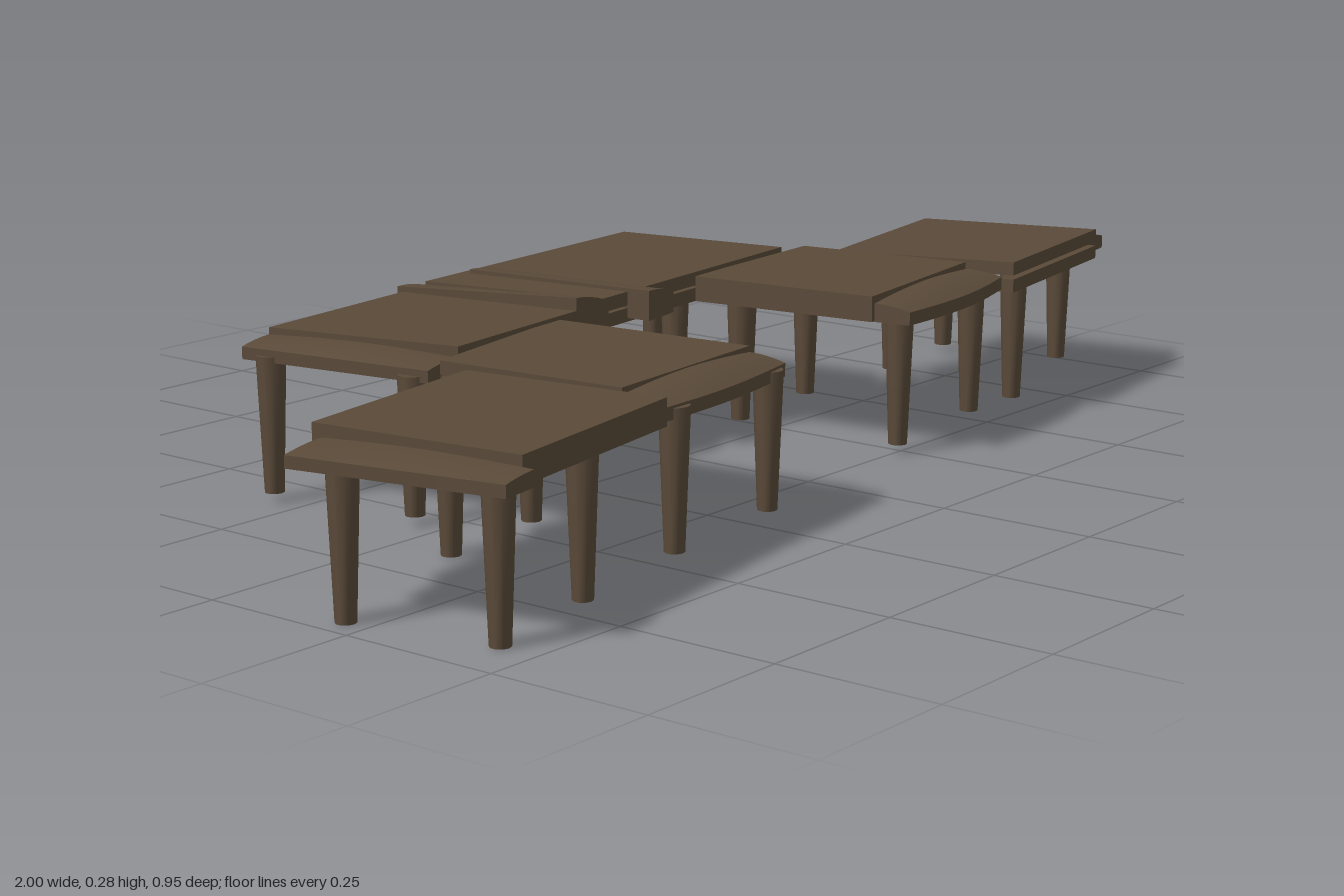
import * as THREE from 'three';
import { toCreasedNormals } from 'three/addons/utils/BufferGeometryUtils.js';

const wood = new THREE.MeshStandardMaterial({ color: 0x5a4a39 });
wood.name = 'dark brown wood';

// Four [x, z] corners, clockwise seen from above; bilinear point inside them.
function inside(q, u, v) {
  const mix = (i) => (1 - v) * ((1 - u) * q[0][i] + u * q[1][i]) + v * ((1 - u) * q[3][i] + u * q[2][i]);
  return [mix(0), mix(1)];
}

// Box bent to a four-cornered outline, with height rules for top and bottom.
function slab(q, top, bottom, nu = 1, nv = 1, bulge = 0) {
  const g = new THREE.BoxGeometry(1, 1, 1, nu, 1, nv);
  const p = g.attributes.position;
  for (let i = 0; i < p.count; i++) {
    const u = p.getX(i) + 0.5, v = p.getZ(i) + 0.5;
    const [x, z] = inside(q, u, v * (1 + bulge * Math.sin(Math.PI * u)));
    p.setXYZ(i, x, p.getY(i) > 0 ? top(u, v, z) : bottom(u, v, z), z);
  }
  return toCreasedNormals(g, 0.6);
}

function add(group, name, geometry) {
  const m = new THREE.Mesh(geometry, wood);
  m.name = name;
  group.add(m);
  return m;
}

// Flat seat with a hollow apron below it
function seat(group, name, q, back, front) {
  const s = new THREE.Group();
  s.name = name;
  const top = (u, v) => back + (front - back) * v;
  add(s, 'seatBoard', slab(q, top, (u, v) => top(u, v) - 0.022));
  const inner = [[0.05, 0.05], [0.95, 0.05], [0.95, 0.95], [0.05, 0.95]].map(([u, v]) => inside(q, u, v));
  const low = Math.min(back, front) - 0.041;
  for (let i = 0; i < 4; i++) {
    const j = (i + 1) % 4;
    add(s, 'apron', slab([q[i], q[j], inner[j], inner[i]], () => low + 0.022, () => low));
  }
  group.add(s);
}

// Rounded rest: first two corners form the edge next to the seat
function rest(group, name, q, high, low, base, bulge = 0) {
  const top = (u, v) => low + (high - low) * (1 - v * v) * (0.55 + 0.45 * Math.sin(Math.PI * u));
  add(group, name, slab(q, top, () => base, 10, 6, bulge));
}

export function createModel() {
  const model = new THREE.Group();
  model.name = 'modularSeating';

  // Seats: corners back right, back left, front left, front right of the model
  seat(model, 'rightOuterSeat', [[-0.91, 0.105], [-0.55, 0.05], [-0.505, 0.38], [-0.87, 0.44]], 0.243, 0.243);
  seat(model, 'rightInnerSeat', [[-0.55, 0], [-0.225, -0.06], [-0.175, 0.27], [-0.505, 0.3]], 0.25, 0.245);
  seat(model, 'backRightSeat', [[-0.54, -0.36], [-0.17, -0.4], [-0.14, -0.065], [-0.485, -0.025]], 0.25, 0.256);
  seat(model, 'backLeftSeat', [[-0.145, -0.41], [0.41, -0.455], [0.43, -0.125], [-0.11, -0.07]], 0.255, 0.262);
  seat(model, 'leftInnerSeat', [[0.16, -0.1], [0.495, -0.125], [0.54, 0.175], [0.2, 0.225]], 0.255, 0.255);
  seat(model, 'leftOuterSeat', [[0.505, -0.065], [0.87, -0.13], [0.915, 0.2], [0.555, 0.26]], 0.252, 0.262);

  // Rounded rests at the ends and along the front edges
  rest(model, 'rightEndRest', [[-0.918, 0.13], [-0.87, 0.46], [-0.935, 0.47], [-1, 0.145]], 0.232, 0.222, 0.204);
  rest(model, 'rightFrontRest', [[-0.505, 0.303], [-0.18, 0.273], [-0.175, 0.335], [-0.505, 0.378]], 0.244, 0.228, 0.208, 0.15);
  rest(model, 'backRightEndRest', [[-0.545, -0.355], [-0.49, -0.025], [-0.56, -0.015], [-0.61, -0.345]], 0.246, 0.234, 0.215);
  rest(model, 'backLeftEndRest', [[0.427, -0.14], [0.402, -0.47], [0.465, -0.48], [0.5, -0.15]], 0.252, 0.236, 0.215);
  rest(model, 'leftFrontRest', [[0.2, 0.23], [0.535, 0.18], [0.55, 0.24], [0.21, 0.29]], 0.252, 0.236, 0.215, 0.25);
  rest(model, 'leftEndRest', [[0.925, 0.18], [0.87, -0.145], [0.935, -0.155], [0.995, 0.165]], 0.252, 0.236, 0.215);

  // Two sloping rests where the back seats meet
  const ridge = (name, q, back, front) => add(model, name, slab(q,
    (u, v) => (back + (front - back) * v) - 0.014 * u * u, () => 0.22, 6, 4));
  ridge('middleRestRight', [[-0.215, -0.405], [-0.13, -0.42], [-0.11, -0.055], [-0.18, -0.06]], 0.258, 0.276);
  ridge('middleRestLeft', [[-0.05, -0.4], [0.03, -0.4], [0.045, -0.05], [-0.035, -0.035]], 0.262, 0.268);

  // Tapered legs: [x, z] positions, with foot height per set
  const legSets = [
    [0, [[-0.91, 0.435], [-0.96, 0.21], [-0.69, 0.385], [-0.64, 0.1]]],
    [0.014, [
      [-0.47, 0.365], [-0.21, 0.33], [-0.47, 0.1], [-0.21, -0.04],
      [-0.59, -0.305], [-0.555, -0.05], [-0.165, -0.365], [-0.25, -0.075],
      [0.22, -0.4], [0.135, -0.12], [0.465, -0.435], [0.44, -0.21],
      [0.24, 0.25], [0.505, 0.21], [0.22, -0.05], [0.44, -0.08],
      [0.955, 0.1], [0.92, -0.12], [0.635, 0.21], [0.69, -0.075],
    ]],
  ];
  for (const [foot, spots] of legSets) {
    const leg = toCreasedNormals(new THREE.CylinderGeometry(0.023, 0.015, 0.21, 10), 0.8);
    for (const [x, z] of spots) add(model, 'leg', leg).position.set(x, foot + 0.105, z);
  }
  return model;
}
